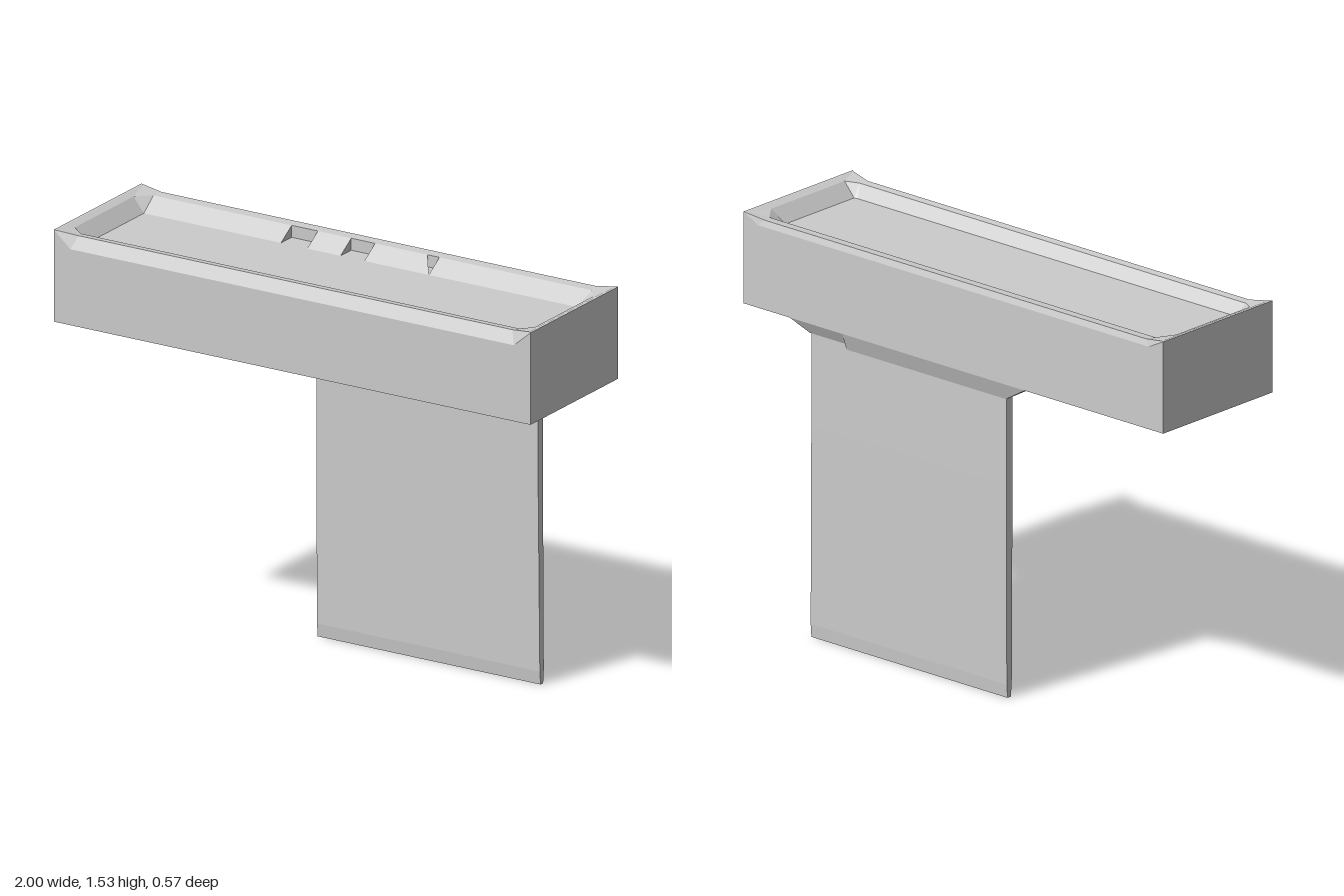
import * as THREE from 'three';

const material = new THREE.MeshStandardMaterial({
  color: 0xcccccc, flatShading: true, side: THREE.DoubleSide,
});

// Flat-shaded mesh from polygons, each a loop of [x, y, z] corners
function polyMesh(name, polygons) {
  const pos = [];
  for (const p of polygons) {
    for (let i = 1; i < p.length - 1; i++) pos.push(...p[0], ...p[i], ...p[i + 1]);
  }
  const geo = new THREE.BufferGeometry();
  geo.setAttribute('position', new THREE.Float32BufferAttribute(pos, 3));
  geo.computeVertexNormals();
  const mesh = new THREE.Mesh(geo, material);
  mesh.name = name;
  return mesh;
}

// Quads joining successive rings, each counter-clockwise seen from above
function loft(rings, skip = () => false) {
  const quads = [];
  for (let r = 0; r < rings.length - 1; r++) {
    const lo = rings[r], hi = rings[r + 1], n = lo.length;
    for (let i = 0; i < n; i++) {
      const j = (i + 1) % n;
      if (!skip(r, i)) quads.push([lo[i], lo[j], hi[j], hi[i]]);
    }
  }
  return quads;
}

// Eight-point ring: corner points c and long-side points f (front), b (back)
function ring(c, f, b) {
  const half = (s) => ({
    cf: [s * c.x, c.y, c.zf], cb: [s * c.x, c.y, c.zb],
    f: [s * f.x, f.y, f.z], b: [s * b.x, b.y, b.z],
  });
  const l = half(1), r = half(-1);
  return [l.cf, l.cb, l.b, r.b, r.cb, r.cf, r.f, l.f];
}

// Four-point rectangle ring
const rect = (x0, x1, z0, z1, y) => [[x1, y, z1], [x1, y, z0], [x0, y, z0], [x0, y, z1]];

const FLOOR = 1.475, LIP = 1.52, ZLIP = -0.24, ZFLOOR = -0.17;

function createBox() {
  const rings = [
    ring({ x: 1, y: 1.19, zf: 0.287, zb: -0.287 },
      { x: 0.92, y: 1.19, z: 0.287 }, { x: 0.92, y: 1.19, z: -0.287 }),
    // outer walls, with raised corners and a bevel along the long sides
    ring({ x: 1, y: 1.535, zf: 0.287, zb: -0.287 },
      { x: 0.93, y: 1.475, z: 0.287 }, { x: 0.93, y: 1.5, z: -0.287 }),
    ring({ x: 0.99, y: 1.535, zf: 0.28, zb: -0.283 },
      { x: 0.91, y: 1.523, z: 0.265 }, { x: 0.91, y: 1.523, z: -0.279 }),
    // inner lip
    ring({ x: 0.965, y: 1.525, zf: 0.205, zb: -0.18 },
      { x: 0.92, y: LIP, z: 0.235 }, { x: 0.92, y: LIP, z: ZLIP }),
    // recessed floor
    ring({ x: 0.915, y: FLOOR, zf: 0.2, zb: ZFLOOR },
      { x: 0.9, y: FLOOR, z: 0.203 }, { x: 0.9, y: FLOOR, z: ZFLOOR }),
  ];
  const g = new THREE.Group();
  g.name = 'box';
  g.add(polyMesh('boxShell', [
    ...loft(rings, (r, i) => r === 3 && i === 2),
    [...rings[0]].reverse(),
    rings[4],
  ]));

  // Sloped inner back wall, interrupted by small pockets
  const lip = (x) => [x, LIP, ZLIP], foot = (x) => [x, FLOOR, ZFLOOR];
  const deep = (x) => [x, FLOOR, ZLIP];
  const polys = [];
  const slope = (x0, x1, t0 = x0, t1 = x1) =>
    polys.push([foot(x0), foot(x1), lip(t1), lip(t0)]);
  const pockets = [[-0.34, -0.23], [-0.09, 0.01]];
  let x = -0.9, top = -0.92;
  for (const [a, b] of pockets) {
    slope(x, a, top, a);
    polys.push([deep(a), deep(b), lip(b), lip(a)]);
    polys.push([foot(a), foot(b), deep(b), deep(a)]);
    polys.push([foot(a), deep(a), lip(a)], [foot(b), lip(b), deep(b)]);
    x = top = b;
  }
  // triangular third pocket
  slope(x, 0.28, top, 0.23);
  polys.push([foot(0.28), deep(0.28), deep(0.23)]);
  polys.push([deep(0.23), deep(0.28), lip(0.28), lip(0.23)]);
  polys.push([foot(0.28), deep(0.23), lip(0.23)], [foot(0.28), lip(0.28), deep(0.28)]);
  slope(0.28, 0.9, 0.28, 0.92);
  g.add(polyMesh('innerBackSlope', polys));
  return g;
}

// Flared bracket, stepped along its lower edge
function createBracket() {
  const low = 1.125, step = 1.145, zf = -0.229, zb = -0.264;
  const bottom = [[0.705, step, zf], [0.705, step, zb], [0.53, step, zb], [0.53, low, zb],
    [-0.23, low, zb], [-0.23, low, zf], [0.53, low, zf], [0.53, step, zf]];
  const up = [[0.78, -0.16], [0.78, -0.287], [0.53, -0.287], [0.53, -0.287],
    [-0.34, -0.287], [-0.34, -0.16], [0.53, -0.16], [0.53, -0.16]];
  return polyMesh('bracket', [
    ...loft([bottom, up.map(([x, z]) => [x, 1.19, z])]),
    [bottom[3], bottom[4], bottom[5], bottom[6]],
    [bottom[0], bottom[1], bottom[2], bottom[7]],
    [bottom[2], bottom[3], bottom[6], bottom[7]],
  ]);
}

// Thin upright panel, slightly tapered at its foot
function createPanel() {
  const rings = [
    rect(-0.23, 0.705, -0.256, -0.239, 0),
    rect(-0.23, 0.705, -0.26, -0.234, 0.05),
    rect(-0.23, 0.70, -0.262, -0.23, 0.8),
    rect(-0.23, 0.70, -0.262, -0.23, 1.16),
  ];
  return polyMesh('panel', [...loft(rings), [...rings[0]].reverse(), rings[3]]);
}

export function createModel() {
  const model = new THREE.Group();
  model.name = 'boxOnPanel';
  model.add(createBox(), createBracket(), createPanel());
  return model;
}
